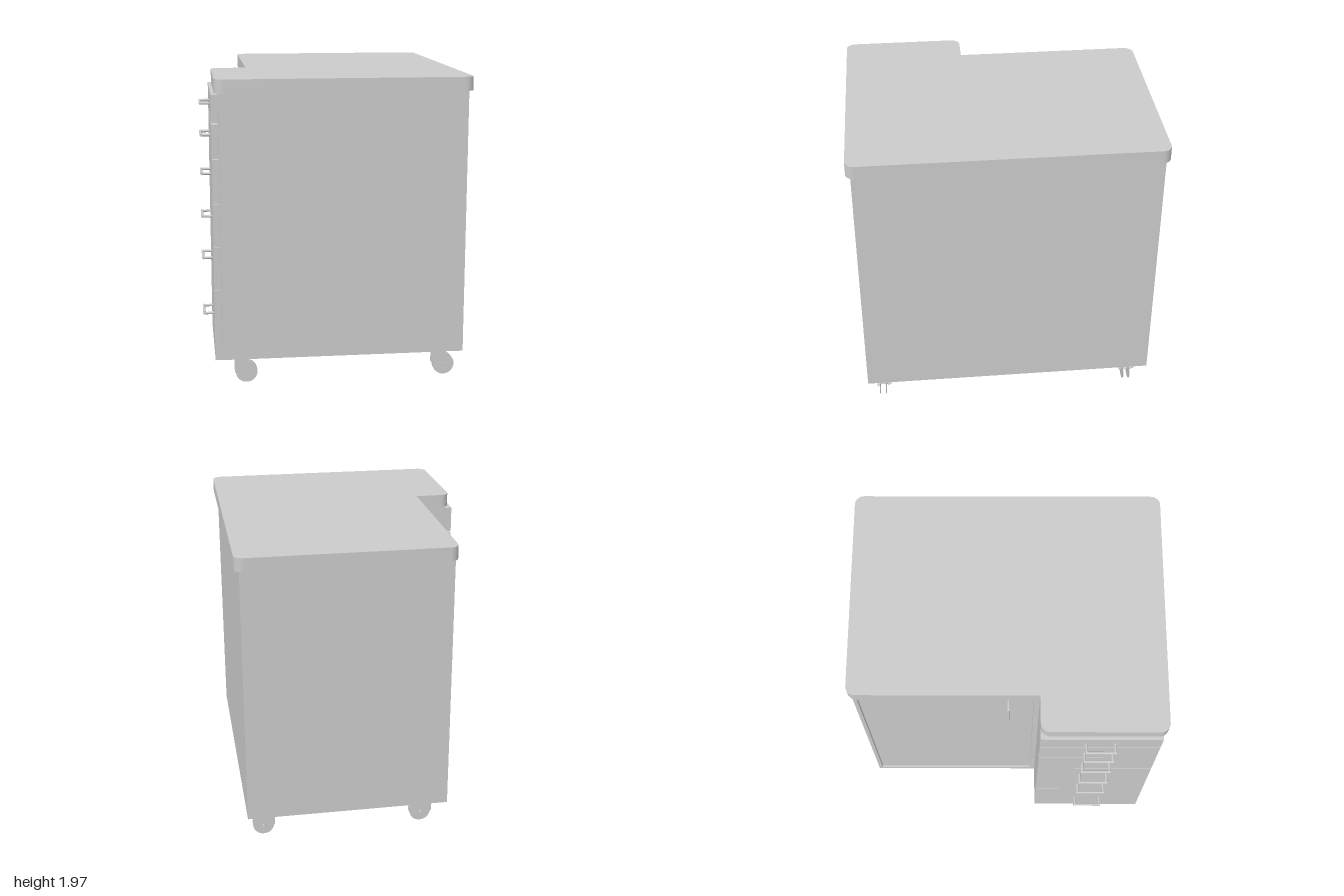
import * as THREE from 'three';
import { toCreasedNormals } from 'three/addons/utils/BufferGeometryUtils.js';

const material = new THREE.MeshStandardMaterial({ color: 0xcccccc });

function add(parent, name, geometry, x = 0, y = 0, z = 0) {
  const mesh = new THREE.Mesh(geometry, material);
  mesh.name = name;
  mesh.position.set(x, y, z);
  parent.add(mesh);
  return mesh;
}

// Box given by its limits on each axis
function addBox(parent, name, [x0, x1], [y0, y1], [z0, z1]) {
  return add(parent, name, new THREE.BoxGeometry(x1 - x0, y1 - y0, z1 - z0),
    (x0 + x1) / 2, (y0 + y1) / 2, (z0 + z1) / 2);
}

// Upright prism from a floor plan of [x, z, cornerRadius] points
function prism(plan, height) {
  const shape = new THREE.Shape();
  const pts = plan.map(([x, z]) => new THREE.Vector2(x, -z));
  plan.forEach(([, , r = 0], i) => {
    const p = pts[i];
    const towards = (q) => q.clone().sub(p).setLength(r).add(p);
    const a = towards(pts[(i + pts.length - 1) % pts.length]);
    const b = towards(pts[(i + 1) % pts.length]);
    if (i === 0) shape.moveTo(a.x, a.y);
    else shape.lineTo(a.x, a.y);
    if (r > 0) {
      // centre of the rounded corner
      const c = a.clone().add(b).sub(p);
      const start = Math.atan2(a.y - c.y, a.x - c.x);
      shape.absarc(c.x, c.y, r, start, start + Math.PI / 2, false);
    }
  });
  shape.closePath();
  const geometry = new THREE.ExtrudeGeometry(shape, { depth: height, bevelEnabled: false, curveSegments: 10 });
  geometry.rotateX(-Math.PI / 2);
  return toCreasedNormals(geometry, 0.6);
}

// Bar handle on two posts, sticking out towards -x, long in z
function makeHandle(name) {
  const handle = new THREE.Group();
  handle.name = name;
  const r = 0.0085, half = 0.09, reach = 0.06;
  const bar = new THREE.CylinderGeometry(r, r, 2 * (half + r), 12).rotateX(Math.PI / 2);
  add(handle, 'handleBar', bar, -reach, 0, 0);
  for (const side of [-1, 1]) {
    const post = new THREE.CylinderGeometry(r, r, reach, 12).rotateZ(Math.PI / 2);
    add(handle, 'handlePost', post, -reach / 2, 0, side * half);
  }
  return handle;
}

// Caster with its axle at the origin: two thin discs in an open fork
function makeCaster() {
  const caster = new THREE.Group();
  caster.name = 'caster';
  const rod = (r, length) => new THREE.CylinderGeometry(r, r, length, 12).rotateX(Math.PI / 2);
  for (const side of [-1, 1]) {
    add(caster, 'wheelDisc', new THREE.CylinderGeometry(0.07, 0.07, 0.004, 32).rotateX(Math.PI / 2), 0, 0, side * 0.021);
    const z = side * 0.031;
    addBox(caster, 'forkPlate', [-0.075, 0.01], [0, 0.108], [z - 0.002, z + 0.002]);
  }
  addBox(caster, 'forkTop', [-0.075, 0.01], [0.106, 0.11], [-0.033, 0.033]);
  add(caster, 'axle', rod(0.005, 0.1), 0, 0, -0.013);
  add(caster, 'axleHead', rod(0.013, 0.008), 0, 0, 0.035);
  add(caster, 'axleNut', rod(0.011, 0.012), 0, 0, -0.04);
  return caster;
}

export function createModel() {
  const model = new THREE.Group();
  model.name = 'rollingCabinet';

  // L-shaped cabinet body
  add(model, 'cabinetBody', prism([
    [-0.74, 0.97], [0.82, 0.97], [0.82, -0.97], [-0.47, -0.97], [-0.47, 0.206], [-0.74, 0.206],
  ], 1.7), 0, 0.18, 0);

  // L-shaped worktop with rounded outer corners
  add(model, 'worktop', prism([
    [-0.765, 1, 0.06], [0.85, 1, 0.06], [0.85, -1, 0.06], [-0.53, -1, 0.06], [-0.53, 0.206], [-0.765, 0.206, 0.06],
  ], 0.088), 0, 1.88, 0);

  // Door set into a slim frame
  const frameX = [-0.51, -0.47];
  addBox(model, 'doorFrameBottom', frameX, [0.18, 0.215], [-0.97, 0.206]);
  addBox(model, 'doorFrameTop', frameX, [1.845, 1.88], [-0.97, 0.206]);
  addBox(model, 'doorFrameRear', frameX, [0.215, 1.845], [-0.97, -0.945]);
  addBox(model, 'doorFrameFront', frameX, [0.215, 1.845], [0.171, 0.206]);
  addBox(model, 'door', [-0.5, -0.47], [0.22, 1.84], [-0.94, 0.166]);
  const doorHandle = makeHandle('doorHandle');
  doorHandle.rotation.x = Math.PI / 2;
  doorHandle.position.set(-0.5, 1.68, 0.01);
  model.add(doorHandle);

  // Stack of drawers: bottom, top and handle height
  const drawers = [
    [0.18, 0.636, 0.405], [0.64, 0.918, 0.78], [0.922, 1.19, 1.055],
    [1.194, 1.473, 1.335], [1.477, 1.69, 1.585], [1.702, 1.873, 1.787],
  ];
  for (const [bottom, top, handleY] of drawers) {
    addBox(model, 'drawerFront', [-0.785, -0.742], [bottom, top], [0.206, 0.967]);
    const handle = makeHandle('drawerHandle');
    handle.position.set(-0.785, handleY, 0.585);
    model.add(handle);
  }

  // Five casters
  for (const [x, z] of [[-0.585, 0.872], [0.71, 0.872], [-0.585, 0.34], [-0.35, -0.842], [0.71, -0.842]]) {
    const caster = makeCaster();
    caster.position.set(x, 0.07, z);
    model.add(caster);
  }
  return model;
}
